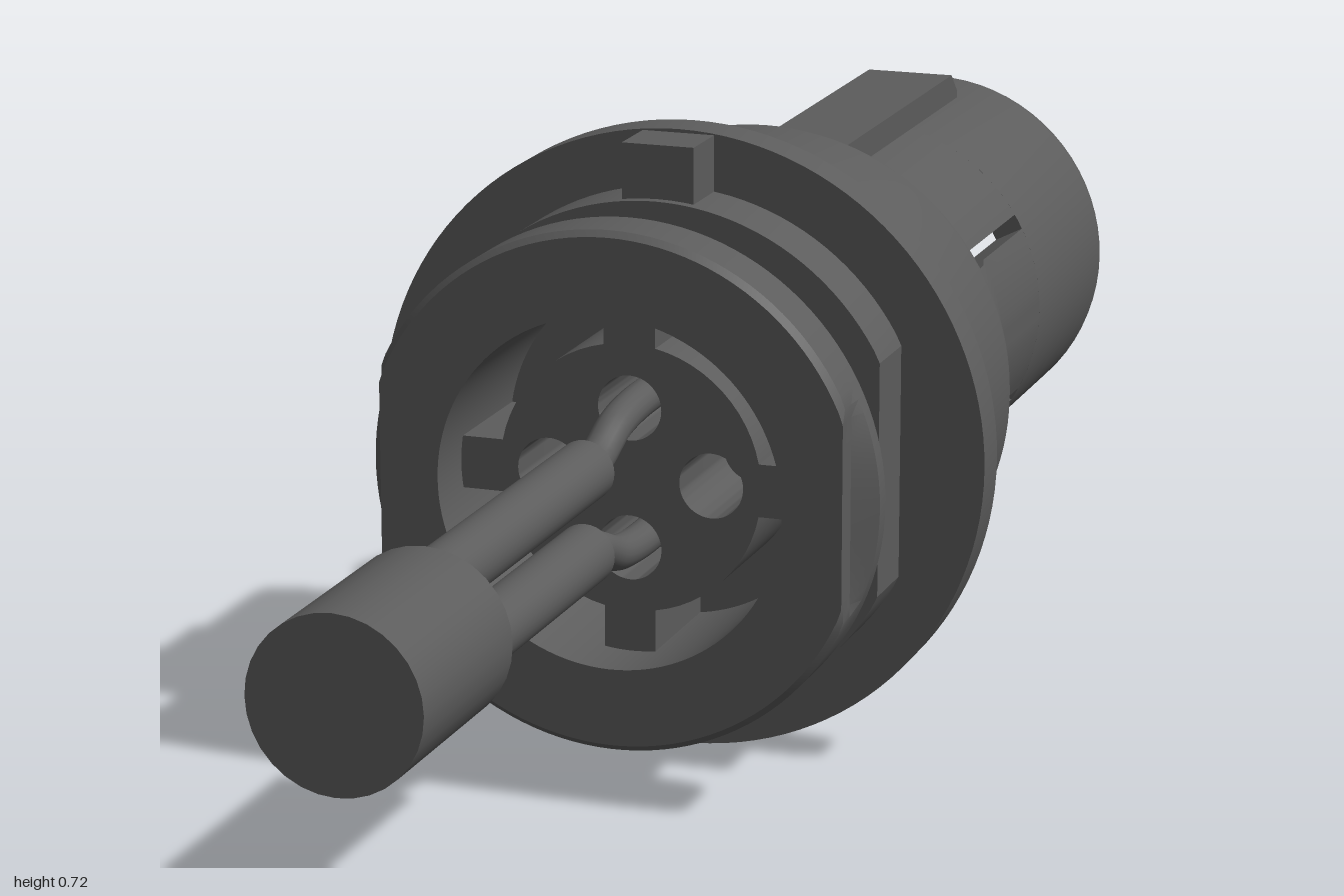
import * as THREE from 'three';
import { toCreasedNormals } from 'three/addons/utils/BufferGeometryUtils.js';

const DEG = Math.PI / 180;
const material = new THREE.MeshStandardMaterial({ color: 0x5c5c5c, side: THREE.DoubleSide });

export function createModel() {
  const model = new THREE.Group();
  const axis = new THREE.Group(); // everything is arranged round the z axis
  axis.name = 'connector';
  axis.position.y = 0.36;
  model.add(axis);

  const add = (name, geometry, parent = axis) => {
    const mesh = new THREE.Mesh(geometry, material);
    mesh.name = name;
    parent.add(mesh);
    return mesh;
  };
  const vectors = (points) => points.map(([r, z]) => new THREE.Vector2(r, z));

  // Turned part: points are [radius, z]; angle 90 is +x, 180 is up
  const turned = (points, start = 0, sweep = 360, segments = 72) =>
    new THREE.LatheGeometry(vectors(points), segments, start * DEG, sweep * DEG).rotateX(Math.PI / 2);
  const addTurned = (name, points) => add(name, toCreasedNormals(turned(points), 0.5));

  // Part of a turned ring, closed at both cut ends
  const addSector = (name, points, start, sweep) => {
    const group = new THREE.Group();
    group.name = name;
    axis.add(group);
    const closed = [...points, points[0]];
    add(name + 'Wall', toCreasedNormals(turned(closed, start, sweep, Math.ceil(sweep / 5)), 0.5), group);
    for (const angle of [start, start + sweep]) {
      const s = Math.sin(angle * DEG), c = Math.cos(angle * DEG);
      const cap = new THREE.ShapeGeometry(new THREE.Shape(vectors(points)));
      cap.applyMatrix4(new THREE.Matrix4().makeBasis(
        new THREE.Vector3(s, -c, 0), new THREE.Vector3(0, 0, 1), new THREE.Vector3(-c, -s, 0)));
      add(name + 'Edge', cap, group);
    }
  };
  const addCylinder = (name, radius, z0, z1, x = 0, y = 0) => {
    const mesh = add(name, new THREE.CylinderGeometry(radius, radius, z1 - z0, 32).rotateX(Math.PI / 2));
    mesh.position.set(x, y, (z0 + z1) / 2);
    return mesh;
  };

  // Body with flange, groove, front collar and open bore
  const body = turned([
    [0, -0.32], [0.265, -0.32], [0.283, -0.316], [0.297, -0.303], [0.302, -0.285],
    [0.302, -0.135], [0.312, -0.13], [0.312, -0.03], [0.36, -0.03], [0.36, 0.02],
    [0.295, 0.02], [0.295, 0.1], [0.24, 0.1], [0.24, 0.17], [0.288, 0.17], [0.295, 0.18],
    [0.295, 0.2], [0.295, 0.22], [0.295, 0.243], [0.288, 0.25], [0.2, 0.25], [0.2, 0.03], [0, 0.03],
  ], 0, 360, 120);
  // Wrench flats on both sides
  const p = body.attributes.position;
  for (let i = 0; i < p.count; i++) {
    const x = p.getX(i), z = p.getZ(i);
    if (z < 0.019 || Math.hypot(x, p.getY(i)) > 0.3) continue;
    const limit = z < 0.11 ? 0.262 : z < 0.21 ? 0.295 : 0.268;
    p.setX(i, THREE.MathUtils.clamp(x, -limit, limit));
  }
  add('body', toCreasedNormals(body, 0.4));

  // Locating key in front of the flange
  add('flangeKey', new THREE.BoxGeometry(0.084, 0.1, 0.07)).position.set(0, 0.306, 0.053);

  // Contact insert with four sockets in the bore
  const face = new THREE.Shape().absarc(0, 0, 0.153, 0, Math.PI * 2);
  const sockets = [[0.095, 0], [0, 0.08], [-0.095, 0], [0, -0.08]];
  for (const [x, y] of sockets) {
    face.holes.push(new THREE.Path().absarc(x, y, 0.037, 0, Math.PI * 2, true));
  }
  const insert = new THREE.ExtrudeGeometry(face, { depth: 0.15, bevelEnabled: false, curveSegments: 32 });
  add('contactInsert', toCreasedNormals(insert, 0.5)).position.z = 0.03;

  // Four ribs hold the insert
  for (let i = 0; i < 4; i++) {
    const rib = add('insertRib', new THREE.BoxGeometry(0.06, 0.07, 0.15));
    const angle = i * Math.PI / 2;
    rib.position.set(Math.sin(angle) * 0.174, Math.cos(angle) * 0.174, 0.105);
    rib.rotation.z = -angle;
  }

  // Two wires: bare ends bend outwards into the sockets, the far ends share a cap
  for (const side of [1, -1]) {
    addCylinder('wire', 0.034, 0.32, 0.79, 0, side * 0.047);
    const bend = new THREE.CatmullRomCurve3([
      new THREE.Vector3(0, side * 0.047, 0.34), new THREE.Vector3(0, side * 0.05, 0.29),
      new THREE.Vector3(0, side * 0.072, 0.23), new THREE.Vector3(0, side * 0.08, 0.17),
      new THREE.Vector3(0, side * 0.08, 0.04),
    ]);
    add('bareWireEnd', new THREE.TubeGeometry(bend, 24, 0.02, 16));
  }
  addCylinder('wireCap', 0.093, 0.77, 1);

  // Rear barrel: closed collar, slotted middle, rounded mouth
  const R = 0.225, r = 0.188;
  addTurned('barrelCollar', [[r, -0.36], [r, -0.36], [R, -0.36], [R, -0.31], [r, -0.31], [r, -0.36]]);
  addTurned('barrelMouth', [
    [r, -0.69], [r, -0.96], [0.192, -0.985], [0.2, -0.996], [0.208, -1], [0.217, -0.996],
    [0.223, -0.988], [R, -0.975], [R, -0.69], [r, -0.69],
  ]);
  const wall = [[r, -0.69], [R, -0.69], [R, -0.36], [r, -0.36]];
  addSector('barrelTop', wall, 122, 116);
  addSector('barrelBottom', wall, -58, 116);

  // Spring latches with a raised catch on both sides
  const latch = [
    [r, -0.69], [R, -0.69], [R, -0.52], [0.246, -0.455], [0.248, -0.43], [0.238, -0.4], [r, -0.4],
  ];
  addSector('latchLeft', latch, 63, 54);
  addSector('latchRight', latch, 243, 54);

  // Keying ridge along the top of the barrel, sloped at its end
  const ridgeSide = new THREE.Shape(vectors([[0.3, 0.2], [0.89, 0.2], [0.89, 0.228], [0.865, 0.252], [0.3, 0.252]]));
  const ridge = new THREE.ExtrudeGeometry(ridgeSide, { depth: 0.11, bevelEnabled: false });
  ridge.translate(0, 0, -0.055).rotateY(Math.PI / 2);
  add('keyRidge', ridge);

  // Contact carrier and pins inside the barrel
  addCylinder('contactCarrier', 0.176, -0.5, -0.3);
  for (let i = 0; i < 4; i++) {
    const angle = i * Math.PI / 2;
    const pin = add('contactPin', new THREE.CapsuleGeometry(0.026, 0.28, 8, 20).rotateX(Math.PI / 2));
    pin.position.set(Math.cos(angle) * 0.085, Math.sin(angle) * 0.085, -0.63);
  }
  return model;
}
